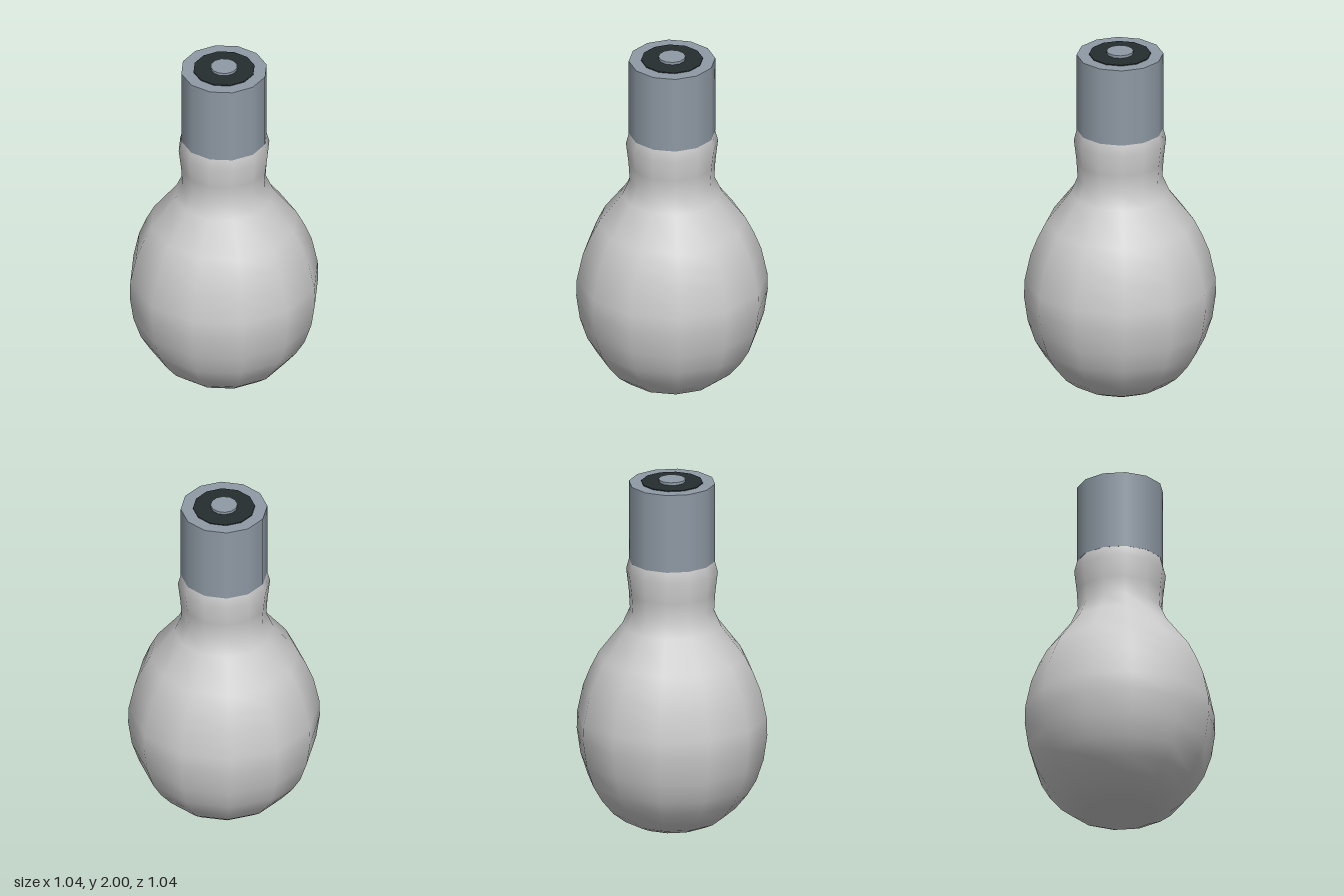
import * as THREE from 'three';

const SIDES = 12;
const metal = new THREE.MeshStandardMaterial({ color: 0x8f9aa5 });
const dark = new THREE.MeshStandardMaterial({ color: 0x262d30 });
const glass = new THREE.MeshStandardMaterial({ color: 0xcccccc });

// Upright twelve-sided cylinder between two heights
function disc(name, radius, y0, y1, material) {
  const mesh = new THREE.Mesh(new THREE.CylinderGeometry(radius, radius, y1 - y0, SIDES), material);
  mesh.position.y = (y0 + y1) / 2;
  mesh.name = name;
  return mesh;
}

export function createModel() {
  const group = new THREE.Group();
  group.name = 'lightBulb';

  // Glass bulb: pole, round belly, narrow neck and flared collar
  const profile = [
    [0, 0], [0.2, 0.045], [0.275, 0.08], [0.345, 0.135], [0.41, 0.215],
    [0.46, 0.3], [0.5, 0.42], [0.52, 0.56], [0.517, 0.66], [0.485, 0.81],
    [0.445, 0.91], [0.4, 1.0], [0.27, 1.17], [0.23, 1.26], [0.236, 1.36],
    [0.25, 1.48], [0.233, 1.545],
  ].map(([x, y]) => new THREE.Vector2(x, y));
  const bulb = new THREE.Mesh(new THREE.LatheGeometry(profile, SIDES), glass);
  bulb.name = 'glassBulb';
  group.add(bulb);

  // Metal cap with insulator ring and end contact
  group.add(disc('metalCap', 0.235, 1.54, 1.98, metal));
  group.add(disc('insulator', 0.168, 1.96, 1.985, dark));
  group.add(disc('endContact', 0.073, 1.97, 2.0, metal));

  return group;
}
